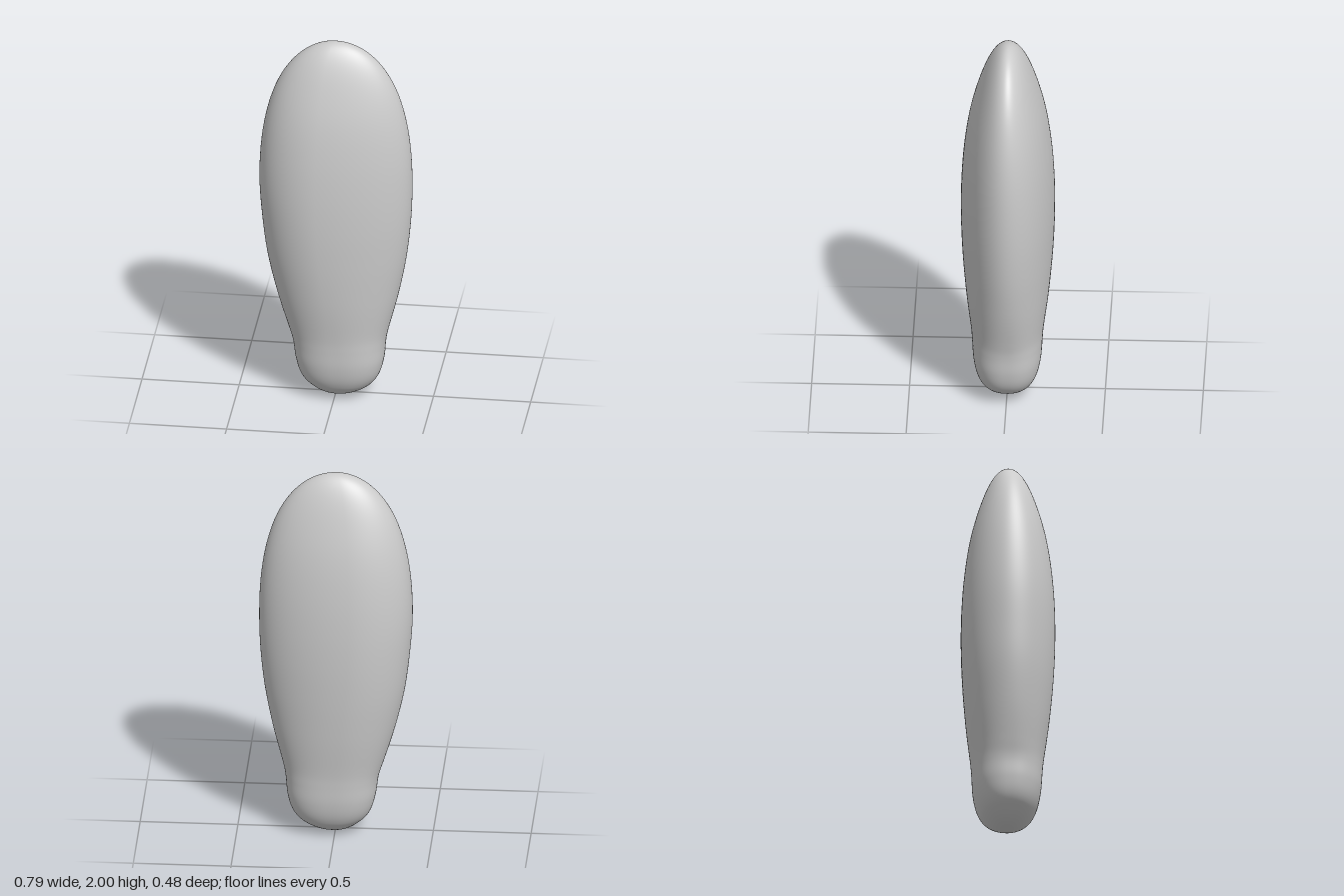
import * as THREE from 'three';
import { mergeVertices } from 'three/addons/utils/BufferGeometryUtils.js';

// Rows from bottom to top: height, then the reach to the right, left and front
// as fractions of a unit sphere's radius at that height, then the skew
// (shift of the thickest line towards -x) and the squareness of the section.
const ROWS = [
  [0.00, 0.37, 0.49, 0.36, 0.00, 2.2],
  [0.05, 0.385, 0.50, 0.353, 0.00, 2.3],
  [0.10, 0.39, 0.48, 0.333, 0.00, 2.35],
  [0.20, 0.342, 0.408, 0.287, 0.02, 2.4],
  [0.30, 0.308, 0.357, 0.252, 0.05, 2.35],
  [0.40, 0.312, 0.344, 0.237, 0.08, 2.2],
  [0.60, 0.338, 0.355, 0.235, 0.14, 2.05],
  [0.80, 0.362, 0.370, 0.237, 0.18, 2],
  [1.00, 0.380, 0.384, 0.240, 0.20, 2],
  [1.20, 0.402, 0.399, 0.242, 0.20, 2],
  [1.40, 0.422, 0.418, 0.242, 0.20, 2],
  [1.60, 0.444, 0.440, 0.238, 0.20, 2],
  [1.80, 0.470, 0.466, 0.225, 0.20, 2],
  [1.95, 0.490, 0.485, 0.217, 0.20, 2],
  [2.00, 0.495, 0.490, 0.215, 0.20, 2],
];

function createBodyGeometry(rings = 120, sides = 96) {
  const curve = (pick) => new THREE.CatmullRomCurve3(
    ROWS.map((r) => new THREE.Vector3(...pick(r))), false, 'catmullrom', 0.5);
  const widths = curve(([y, r, l]) => [Math.acos(1 - y), r, l]);
  const sections = curve(([, , , d, skew, power]) => [d, skew, power]);

  const positions = [];
  const index = [];
  for (let i = 0; i <= rings; i++) {
    const { x: theta, y: right, z: left } = widths.getPoint(i / rings);
    const { x: depth, y: skew, z: power } = sections.getPoint(i / rings);
    const radius = Math.sin(theta);
    const half = (right + left) / 2;
    const apex = (left - right) / 2 - skew * half;

    // Egg-shaped cross-section: a short half on -x and a long half on +x
    for (let j = 0; j < sides; j++) {
      const a = (j / sides) * Math.PI * 2;
      const bend = (v) => Math.sign(v) * Math.abs(v) ** (2 / power);
      const c = bend(Math.cos(a));
      const reach = c > 0 ? left - apex : right + apex;
      positions.push(
        radius * (apex + c * reach),
        1 - Math.cos(theta),
        radius * depth * bend(Math.sin(a)));

      if (i < rings) {
        const p = i * sides + j;
        const q = i * sides + (j + 1) % sides;
        index.push(p, p + sides, q, q, p + sides, q + sides);
      }
    }
  }
  let geometry = new THREE.BufferGeometry();
  geometry.setAttribute('position', new THREE.Float32BufferAttribute(positions, 3));
  geometry.setIndex(index);
  geometry = mergeVertices(geometry, 1e-5); // close both poles
  geometry.computeVertexNormals();
  return geometry;
}

export function createModel() {
  const group = new THREE.Group();
  group.name = 'smoothPaddle';
  const body = new THREE.Mesh(
    createBodyGeometry(),
    new THREE.MeshStandardMaterial({ color: 0xcccccc }));
  body.name = 'body';
  group.add(body);
  return group;
}
